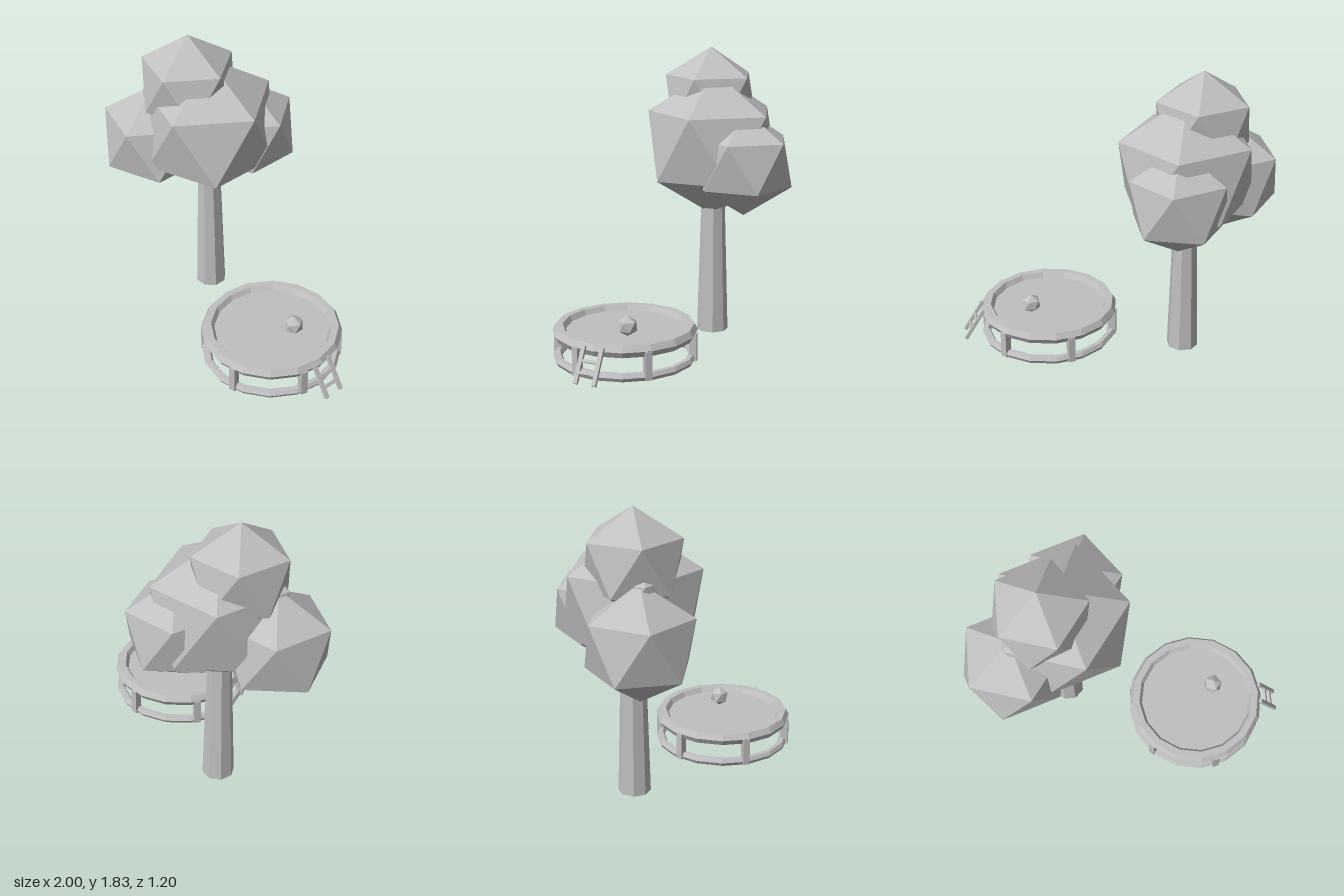
import * as THREE from 'three';

export function createModel() {
  const model = new THREE.Group();
  const grey = new THREE.MeshStandardMaterial({ color: 0xc0c0c0 });
  grey.name = 'grey';
  grey.flatShading = true;

  function add(parent, name, geometry, x, y, z) {
    const mesh = new THREE.Mesh(geometry, grey);
    mesh.name = name;
    mesh.position.set(x, y, z);
    parent.add(mesh);
    return mesh;
  }

  // Icosahedron turned so that one corner points straight up
  function ball(r) {
    return new THREE.IcosahedronGeometry(r, 0).rotateZ(-Math.atan(2 / (1 + Math.sqrt(5))));
  }

  // Tree: tapered octagonal trunk and four clumps of leaves
  const tree = new THREE.Group();
  tree.name = 'tree';
  model.add(tree);
  add(tree, 'trunk', new THREE.CylinderGeometry(0.074, 0.1, 0.9, 8).rotateY(Math.PI / 8), -0.383, 0.45, -0.08);
  const clumps = [
    ['leavesMiddle', 0.462, -0.38, 1.23, -0.08],
    ['leavesTop', 0.324, -0.49, 1.506, -0.02],
    ['leavesFront', 0.356, -0.68, 1.095, 0.11],
    ['leavesBack', 0.334, -0.29, 1.137, -0.32],
  ];
  for (const [name, r, x, y, z] of clumps) add(tree, name, ball(r), x, y, z);

  // Trampoline: padded rim, jumping mat, base ring and six legs
  const trampoline = new THREE.Group();
  trampoline.name = 'trampoline';
  trampoline.position.set(0.45, 0, 0.16);
  model.add(trampoline);
  const ring = (R, r) => new THREE.TorusGeometry(R, r, 6, 16).rotateX(-Math.PI / 2);
  add(trampoline, 'rim', ring(0.395, 0.042), 0, 0.22, 0);
  add(trampoline, 'baseRing', ring(0.408, 0.027), 0, 0.064, 0);
  add(trampoline, 'mat', new THREE.CylinderGeometry(0.38, 0.38, 0.012, 16).rotateY(Math.PI / 2), 0, 0.218, 0);
  for (let i = 0; i < 6; i++) {
    const a = THREE.MathUtils.degToRad(17 + i * 60);
    const leg = add(trampoline, 'leg', new THREE.BoxGeometry(0.046, 0.172, 0.042),
      Math.cos(a) * 0.414, 0.132, Math.sin(a) * 0.414);
    leg.rotation.y = -a;
  }

  // Ladder leaning on the rim
  const ladder = new THREE.Group();
  ladder.name = 'ladder';
  ladder.position.set(0.935, 0.148, 0.162);
  ladder.rotation.z = 0.55;
  model.add(ladder);
  for (const side of [-1, 1]) {
    add(ladder, 'rail', new THREE.BoxGeometry(0.02, 0.222, 0.025), 0, 0, side * 0.058);
  }
  for (const y of [-0.045, 0.025]) {
    add(ladder, 'rung', new THREE.BoxGeometry(0.016, 0.018, 0.1), 0, y, 0);
  }

  // Ball resting on the mat
  add(model, 'ball', ball(0.063), 0.57, 0.285, 0.087);

  return model;
}
